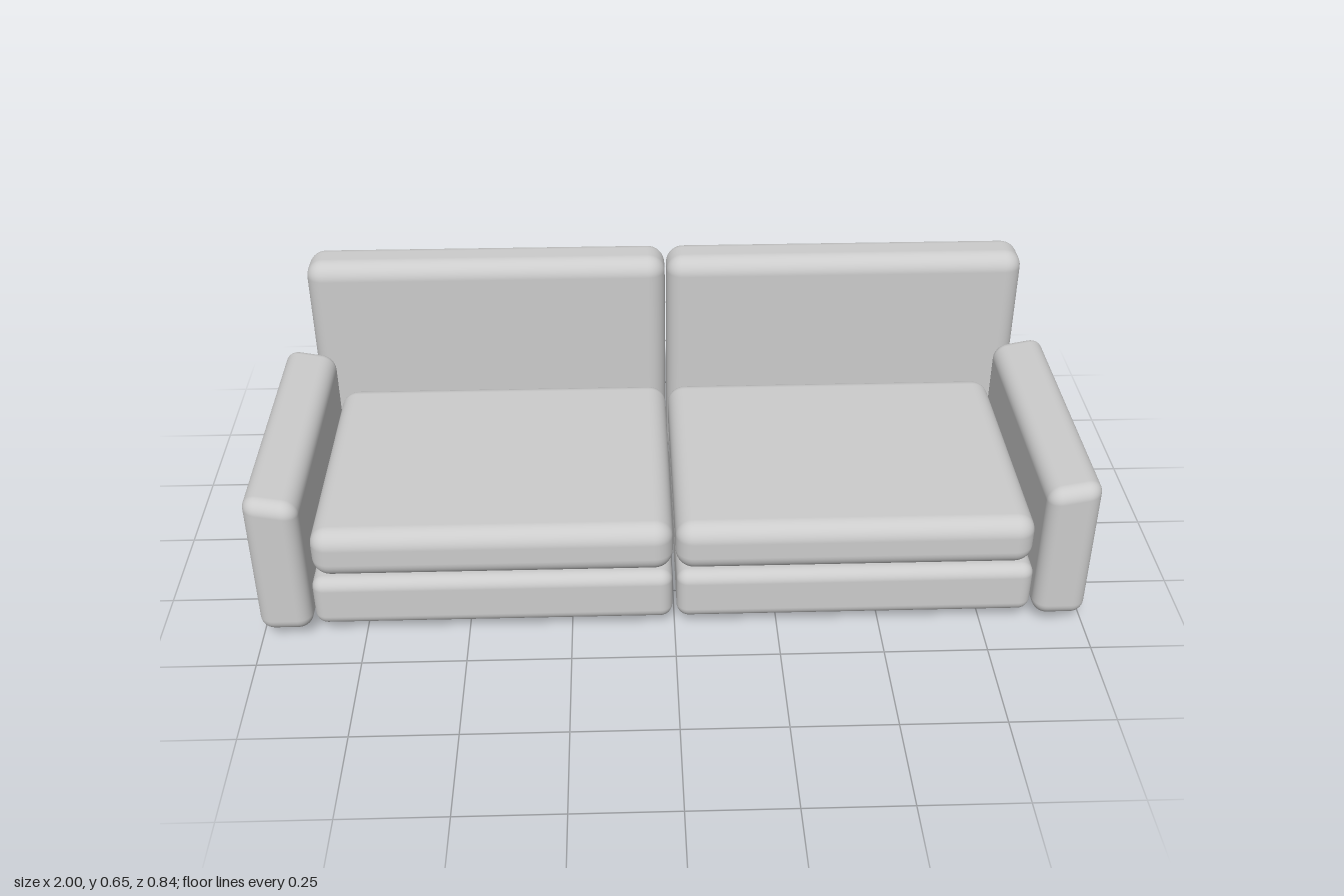
import * as THREE from 'three';
import { RoundedBoxGeometry } from 'three/addons/geometries/RoundedBoxGeometry.js';

const fabric = new THREE.MeshStandardMaterial({ color: 0xcccccc });
const legMaterial = new THREE.MeshStandardMaterial({ color: 0xcccccc, flatShading: true });

// Soft block given by its extents on each axis; side mirrors it in x
function softBlock(name, side, [x0, x1], [y0, y1], [z0, z1], radius) {
  const geometry = new RoundedBoxGeometry(x1 - x0, y1 - y0, z1 - z0, 5, radius);
  const mesh = new THREE.Mesh(geometry, fabric);
  mesh.name = name;
  mesh.position.set(side * (x0 + x1) / 2, (y0 + y1) / 2, (z0 + z1) / 2);
  return mesh;
}

// Slope the top of an armrest down towards the seat
function slopeTop(mesh, side, width, drop) {
  const p = mesh.geometry.attributes.position;
  for (let i = 0; i < p.count; i++) {
    if (p.getY(i) > 0) {
      p.setY(i, p.getY(i) - drop * (0.5 - side * p.getX(i) / width));
    }
  }
}

export function createModel() {
  const sofa = new THREE.Group();
  sofa.name = 'sofa';

  for (const side of [1, -1]) {
    const label = side > 0 ? 'left' : 'right';

    // Base, seat cushion and backrest of one half
    sofa.add(softBlock(label + 'Base', side, [0.005, 0.87], [0.03, 0.165], [-0.29, 0.4], 0.03));
    sofa.add(softBlock(label + 'SeatCushion', side, [0.003, 0.867], [0.16, 0.29], [-0.29, 0.388], 0.045));
    sofa.add(softBlock(label + 'Backrest', side, [0.002, 0.932], [0.03, 0.647], [-0.42, -0.29], 0.045));

    // Armrest
    const arm = softBlock(label + 'Armrest', side, [0.873, 1], [0.03, 0.418], [-0.29, 0.42], 0.035);
    slopeTop(arm, side, 0.127, 0.024);
    sofa.add(arm);

    // Short tapered feet
    for (const [place, z] of [['Front', 0.3], ['Back', -0.178]]) {
      const leg = new THREE.Mesh(new THREE.CylinderGeometry(0.032, 0.025, 0.04, 6), legMaterial);
      leg.name = label + place + 'Leg';
      leg.position.set(side * 0.787, 0.02, z);
      leg.rotation.y = place === 'Front' ? Math.PI / 2 : 0;
      sofa.add(leg);
    }
  }
  return sofa;
}
